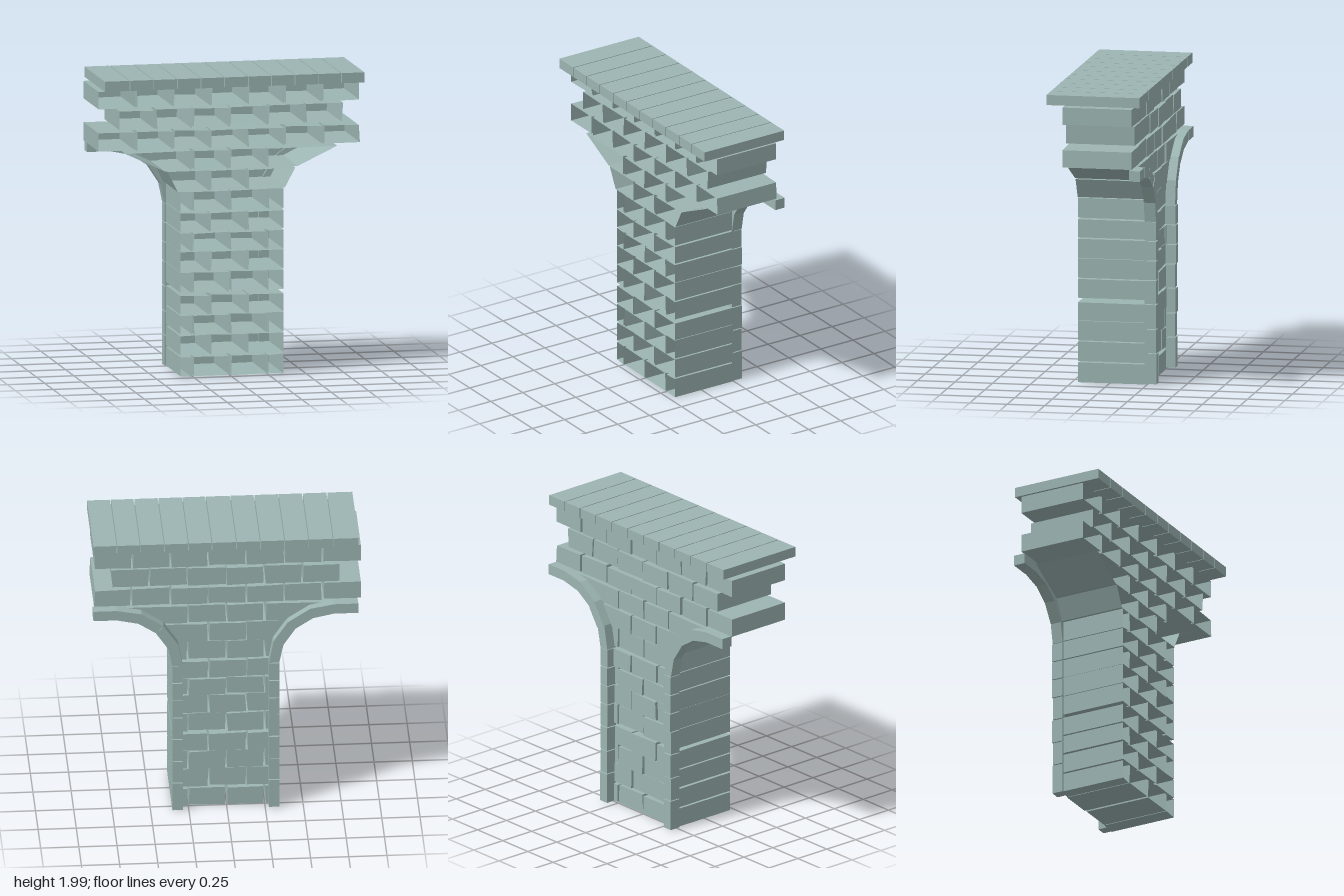
import * as THREE from 'three';

const stone = new THREE.MeshStandardMaterial({ color: 0x9cb5b2, flatShading: true, side: THREE.DoubleSide });

let seed = 7;
const jitter = (amount) => {
  seed = (seed * 16807) % 2147483647;
  return (seed / 2147483647 * 2 - 1) * amount;
};

// Prism over a four-cornered outline, from z0 to z1; openFront leaves off the +z cap
function block(name, corners, z0, z1, openFront = false) {
  const shape = new THREE.Shape(corners.map(([x, y]) => new THREE.Vector2(x, y)));
  let geo = new THREE.ExtrudeGeometry(shape, { depth: z1 - z0, bevelEnabled: false });
  if (openFront) {
    const p = Array.from(geo.attributes.position.array);
    p.splice(18, 18); // the two triangles of the front cap
    geo = new THREE.BufferGeometry();
    geo.setAttribute('position', new THREE.Float32BufferAttribute(p, 3));
    geo.computeVertexNormals();
  }
  geo.translate(0, 0, z0);
  const mesh = new THREE.Mesh(geo, stone);
  mesh.name = name;
  return mesh;
}

// One course of uneven bricks, hollow at the front. Its ends may slope: lower and upper are [left, right]
function course(name, y0, y1, joints, lower, upper) {
  const group = new THREE.Group();
  group.name = name;
  const bottom = [lower[0], ...joints, lower[1]];
  const top = [upper[0], ...joints, upper[1]];
  const last = bottom.length - 2;
  for (let i = 0; i <= last; i++) {
    const l = i === 0 ? 0 : 0.006, r = i === last ? 0 : 0.006;
    const jl = l ? 0.005 : 0, jr = r ? 0.005 : 0;
    group.add(block('brick', [
      [bottom[i] + l + jitter(jl), y0 + jitter(0.005)],
      [bottom[i + 1] - r + jitter(jr), y0 + jitter(0.005)],
      [top[i + 1] - r + jitter(jr), y1 + jitter(0.005)],
      [top[i] + l + jitter(jl), y1 + jitter(0.005)],
    ], -0.25 + jitter(0.007), 0.21, true));
  }
  return group;
}

// Raised edging on the back: stacked blocks up the pillar, then wedges round the arch
function edging(name, side) {
  const group = new THREE.Group();
  group.name = name;
  const inner = [], outer = [];
  const heights = [0.01, 0.215, 0.375, 0.54, 0.70, 0.83, 0.96, 1.09];
  for (const y of heights) {
    outer.push([0.358, y]);
    inner.push([0.29, y]);
  }
  outer.push([0.385, 1.22], [0.465, 1.34], [0.58, 1.415], [0.72, 1.445], [0.875, 1.445]);
  inner.push([0.32, 1.25], [0.415, 1.39], [0.56, 1.485], [0.72, 1.515], [0.875, 1.515]);
  const place = ([x, y], dy = 0) => [0.008 + side * (x - 0.008), y + dy];
  for (let i = 0; i < outer.length - 1; i++) {
    const gap = i < heights.length - 1 ? 0.003 : 0;
    group.add(block('edgingStone', [
      place(outer[i], gap), place(outer[i + 1], -gap),
      place(inner[i + 1], -gap), place(inner[i], gap),
    ], -0.312 + jitter(0.004), -0.235));
  }
  return group;
}

export function createModel() {
  const model = new THREE.Group();
  model.name = 'brickPier';

  // Pillar courses in running bond
  const ends = [-0.333, 0.357];
  const pillarRows = [
    [0.01, 0.137], [0.152, 0.28], [0.286, 0.412], [0.418, 0.543], [0.565, 0.695],
    [0.702, 0.83], [0.837, 0.958], [0.965, 1.09], [1.102, 1.23],
  ];
  const evenJoints = [-0.25, 0, 0.25], oddJoints = [-0.132, 0.117];
  pillarRows.forEach(([y0, y1], i) =>
    model.add(course('pillarCourse', y0, y1, i % 2 ? oddJoints : evenJoints, ends, ends)));

  // Flared courses over the arch springing
  model.add(course('flareCourse', 1.236, 1.367, oddJoints, [-0.35, 0.365], [-0.42, 0.435]));
  model.add(course('flareCourse', 1.377, 1.502, evenJoints, [-0.435, 0.45], [-0.70, 0.715]));

  // Wide courses of the wall
  const wideJoints = [-0.63, -0.382, -0.127, 0.118, 0.367, 0.62];
  model.add(course('wallCourse', 1.518, 1.639, wideJoints, [-0.88, 0.867], [-0.88, 0.86]));
  model.add(course('wallCourse', 1.658, 1.783, [-0.495, -0.247, 0, 0.255, 0.503],
    [-0.74, 0.745], [-0.74, 0.755]));
  model.add(course('wallCourse', 1.8, 1.92, wideJoints, [-0.88, 0.862], [-0.88, 0.862]));

  model.add(edging('leftEdging', 1), edging('rightEdging', -1));

  // Coping slabs along the top
  const coping = new THREE.Group();
  coping.name = 'coping';
  const cuts = [-0.865, -0.695, -0.535, -0.377, -0.218, -0.062, 0.098, 0.252, 0.41, 0.568, 0.72, 0.877];
  for (let i = 0; i < cuts.length - 1; i++) {
    const a = cuts[i] + 0.003, b = cuts[i + 1] - 0.003;
    coping.add(block('copingSlab', [[a, 1.933], [b, 1.933], [b, 2], [a, 2]], -0.305, 0.315));
  }
  model.add(coping);
  return model;
}
